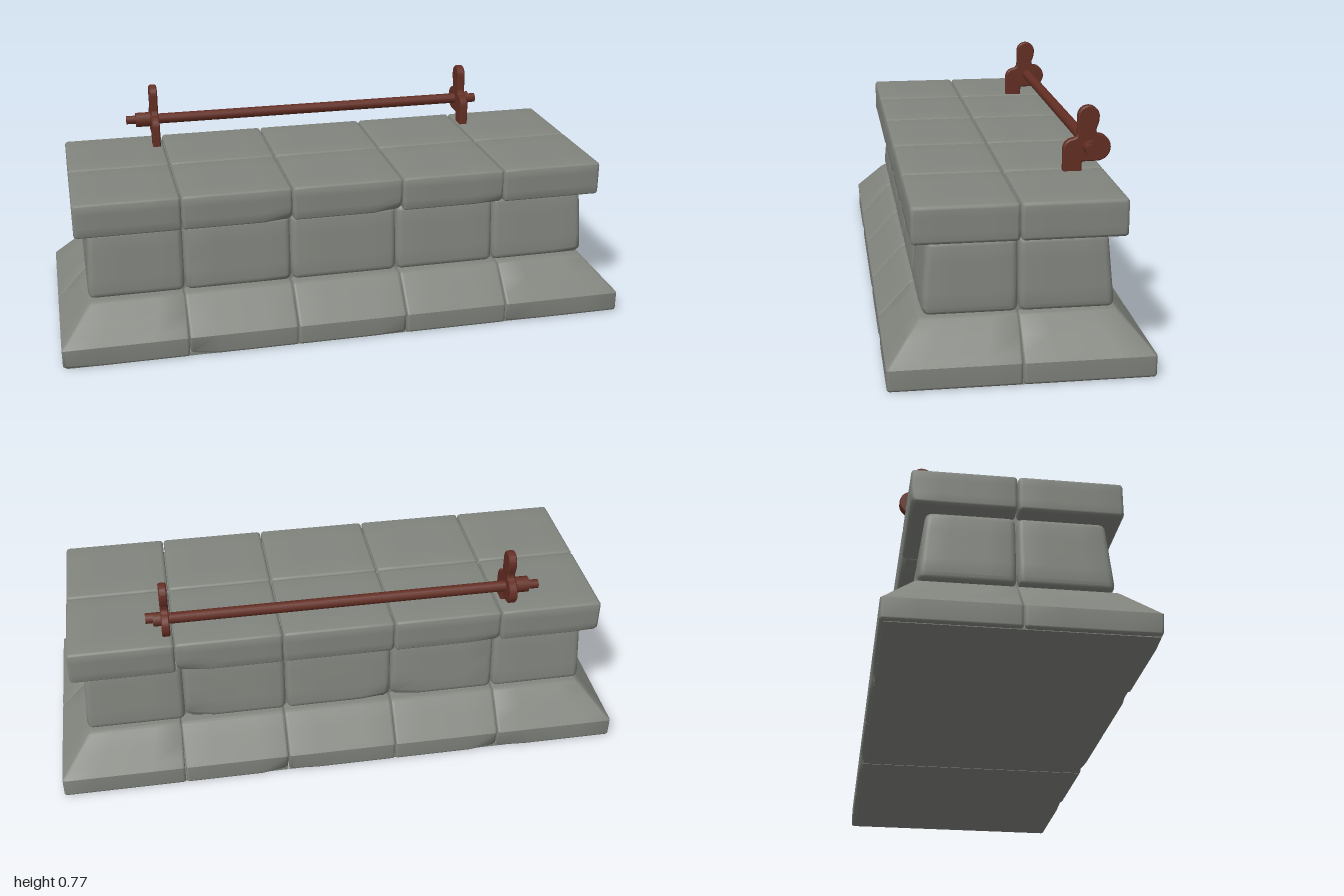
import * as THREE from 'three';
import { toCreasedNormals } from 'three/addons/utils/BufferGeometryUtils.js';

const stone = new THREE.MeshStandardMaterial({ color: 0x82857e });
stone.name = 'grey stone';
const iron = new THREE.MeshStandardMaterial({ color: 0x632e23 });
iron.name = 'rusty iron';

// small seeded random generator
let seed = 11;
const rand = () => {
  seed = (seed * 16807) % 2147483647;
  return seed / 2147483647;
};

function add(parent, name, geometry, material) {
  const mesh = new THREE.Mesh(geometry, material);
  mesh.name = name;
  parent.add(mesh);
  return mesh;
}

// grid lines across one side of a block, packed towards its rounded edges
const SEGS = 8;
function gridLines(lo, hi, r) {
  const lines = [lo, lo + r * 0.586];
  for (let i = 0; i <= SEGS - 4; i++) lines.push(lo + r + ((hi - lo - 2 * r) * i) / (SEGS - 4));
  return [...lines, hi - r * 0.586, hi];
}

// rounded stone block with one chipped corner, then reshaped by the rule warp(p)
function blockGeometry(lo, hi, r, chip, warp, breakY) {
  const geo = new THREE.BoxGeometry(1, 1, 1, SEGS, SEGS, SEGS);
  const pos = geo.attributes.position;
  const lines = [0, 1, 2].map((k) => gridLines(lo.getComponent(k), hi.getComponent(k), r));
  if (breakY) lines[1][3] = breakY;
  const innerLo = lo.clone().addScalar(r), innerHi = hi.clone().addScalar(-r);
  const p = new THREE.Vector3(), q = new THREE.Vector3();
  for (let i = 0; i < pos.count; i++) {
    p.fromBufferAttribute(pos, i);
    for (let k = 0; k < 3; k++) p.setComponent(k, lines[k][Math.round((p.getComponent(k) + 0.5) * SEGS)]);
    q.copy(p).clamp(innerLo, innerHi);
    p.sub(q).setLength(r).add(q);
    if (chip) {
      const over = q.copy(p).sub(chip.corner).dot(chip.normal) + chip.depth;
      if (over > 0) p.addScaledVector(chip.normal, -over);
    }
    warp(p);
    pos.setXYZ(i, p.x, p.y, p.z);
  }
  geo.deleteAttribute('uv');
  return toCreasedNormals(geo, 0.6);
}

// one course of two rows of five blocks
function course(parent, name, o) {
  const group = new THREE.Group();
  group.name = name;
  parent.add(group);
  const xs = [-o.x, ...o.seams, o.x];
  const gap = 0.0015;
  const warp = (p) => {
    const t = THREE.MathUtils.clamp((p.y - o.taperFrom) / (o.y1 - o.taperFrom), 0, 1);
    p.z *= 1 - (o.insetZ * t) / o.z;
    const out = Math.abs(p.x) - 0.57;
    if (out > 0) p.x = Math.sign(p.x) * (0.57 + out * (1 - (o.insetX * t) / (o.x - 0.57)));
  };
  for (const side of [1, -1]) {
    for (let i = 0; i < 5; i++) {
      const lo = new THREE.Vector3(xs[i] + (i ? gap : 0), o.y0, side > 0 ? gap : -o.z);
      const hi = new THREE.Vector3(xs[i + 1] - (i < 4 ? gap : 0), o.y1, side > 0 ? o.z : -gap);
      let chip = null;
      const sx = rand() < 0.5 ? -1 : 1;
      const size = rand();
      if (rand() < 0.65) {
        chip = {
          corner: new THREE.Vector3(sx < 0 ? lo.x : hi.x, o.chipTop ? hi.y : lo.y, side * o.z),
          normal: new THREE.Vector3(sx * 0.35, o.chipTop ? 0.5 : -0.5, side * 0.75).normalize(),
          depth: o.r * 0.75 + 0.014 * size,
        };
      }
      add(group, name + 'Block', blockGeometry(lo, hi, o.r, chip, warp, o.breakY), stone);
    }
  }
}

// flat bracket outline: foot, rounded shoulder, knob on a neck, round rear lobe
function bracketGeometry() {
  const s = new THREE.Shape();
  s.moveTo(0.194, 0.545);
  s.lineTo(0.194, 0.63);
  s.bezierCurveTo(0.196, 0.648, 0.208, 0.658, 0.224, 0.66);
  s.quadraticCurveTo(0.241, 0.664, 0.241, 0.685);
  s.lineTo(0.241, 0.736);
  s.absarc(0.272, 0.736, 0.031, Math.PI, 0, true);
  s.quadraticCurveTo(0.303, 0.716, 0.295, 0.7);
  s.quadraticCurveTo(0.29, 0.678, 0.304, 0.674);
  s.absarc(0.301, 0.633, 0.041, Math.PI / 2, -Math.PI / 2, true);
  s.lineTo(0.248, 0.591);
  s.lineTo(0.246, 0.545);
  const geo = new THREE.ExtrudeGeometry(s, {
    depth: 0.02, bevelThickness: 0.004, bevelSize: 0.004, bevelSegments: 1, curveSegments: 10,
  });
  geo.translate(0, 0, -0.01).rotateY(Math.PI / 2);
  return toCreasedNormals(geo, 0.6);
}

// round bar along x
function bar(parent, name, x0, x1, r, sides, z = -0.28) {
  const geo = new THREE.CylinderGeometry(r, r, x1 - x0, sides).rotateZ(Math.PI / 2);
  add(parent, name, geo, iron).position.set((x0 + x1) / 2, 0.637, z);
}

export function createModel() {
  const model = new THREE.Group();
  model.name = 'stoneWallWithRail';

  // stone courses
  course(model, 'base', {
    x: 1, z: 0.415, y0: 0.002, y1: 0.193, r: 0.01, seams: [-0.57, -0.19, 0.2, 0.57],
    taperFrom: 0.073, insetX: 0.11, insetZ: 0.108, breakY: 0.073, chipTop: false,
  });
  course(model, 'middle', {
    x: 0.897, z: 0.302, y0: 0.198, y1: 0.437, r: 0.022, seams: [-0.565, -0.19, 0.19, 0.55],
    taperFrom: 0.2, insetX: 0.012, insetZ: 0.022, chipTop: false,
  });
  course(model, 'cap', {
    x: 0.93, z: 0.331, y0: 0.437, y1: 0.557, r: 0.012, seams: [-0.57, -0.19, 0.2, 0.57],
    taperFrom: 0.44, insetX: 0, insetZ: 0, chipTop: false,
  });

  // solid core behind the joints
  add(model, 'core', new THREE.BoxGeometry(1.73, 0.53, 0.524), stone).position.y = 0.28;

  // underside in two slabs
  for (const [x0, x1] of [[-0.988, 0.198], [0.202, 0.988]]) {
    const slab = add(model, 'underside', new THREE.BoxGeometry(x1 - x0, 0.012, 0.806), stone);
    slab.position.set((x0 + x1) / 2, 0.006, 0);
  }

  // iron rail with its brackets and end bolts
  const rail = new THREE.Group();
  rail.name = 'rail';
  model.add(rail);
  for (const x of [-0.598, 0.592]) add(rail, 'bracket', bracketGeometry(), iron).position.x = x;
  bar(rail, 'railBar', -0.66, 0.63, 0.019, 14);
  bar(rail, 'leftBolt', 0.6, 0.657, 0.018, 8, -0.27);
  bar(rail, 'leftNut', 0.6, 0.632, 0.024, 8);
  bar(rail, 'rightNut', -0.665, -0.608, 0.028, 8);
  bar(rail, 'rightBolt', -0.7, -0.66, 0.016, 8, -0.285);

  return model;
}
